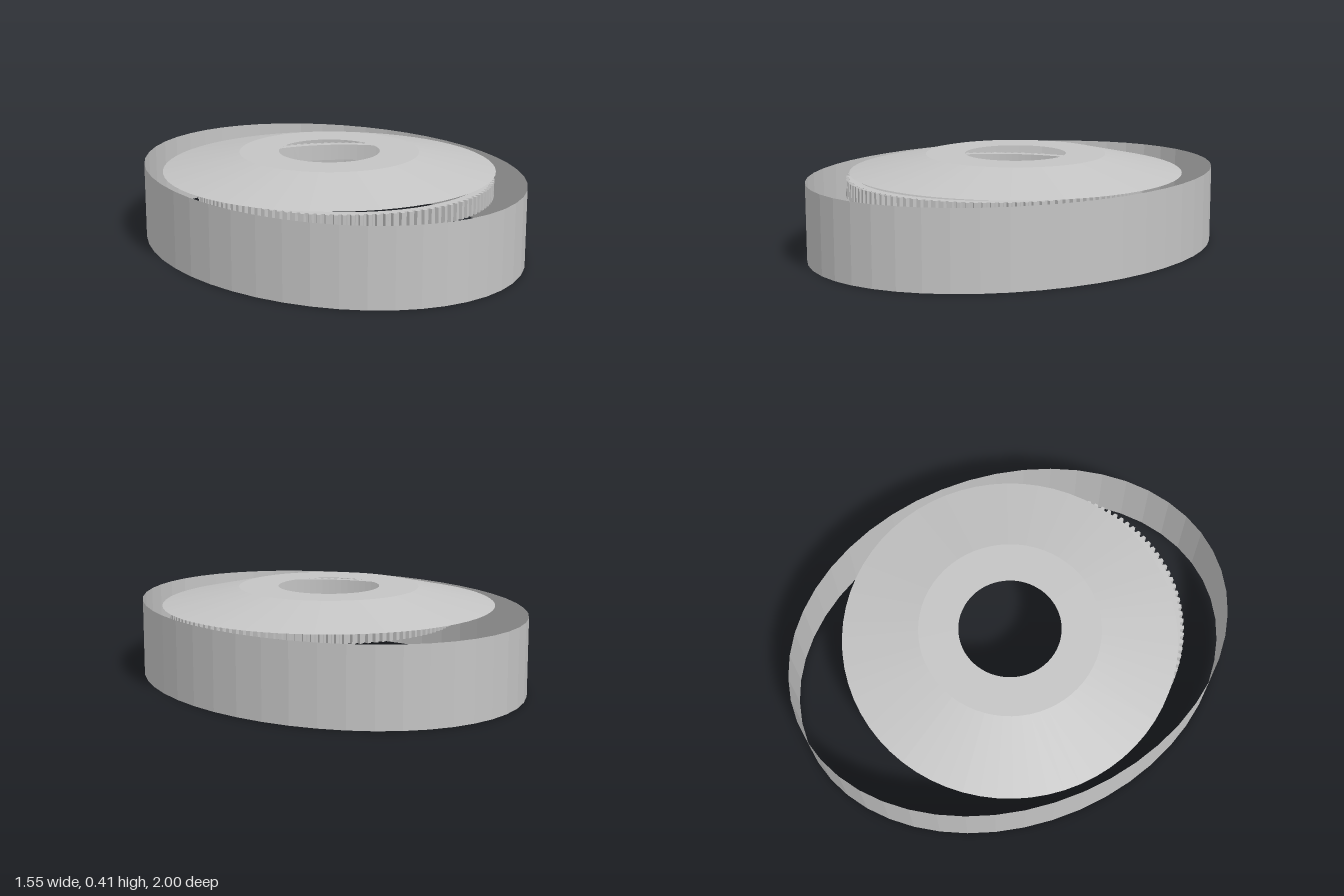
import * as THREE from 'three';

const TAU = Math.PI * 2;

export function createModel() {
  const group = new THREE.Group();
  const grey = new THREE.MeshStandardMaterial({
    color: 0xc4c4c4, flatShading: true, side: THREE.DoubleSide,
  });
  grey.name = 'light grey';

  const add = (name, geometry) => {
    const mesh = new THREE.Mesh(geometry, grey);
    mesh.name = name;
    group.add(mesh);
    return mesh;
  };

  // Thin oval band standing on the ground
  const band = new THREE.CylinderGeometry(1, 1, 0.34, 48, 1, true);
  band.scale(0.775, 1, 1);
  band.translate(0, 0.17, 0);
  add('ovalBand', band);

  // Thin sheet cover: flat collar around the hole, sloping to the rim
  const profile = [[0.74, 0.34], [0.4, 0.415], [0.225, 0.415]];
  add('coverDisc', new THREE.LatheGeometry(
    profile.map(([r, y]) => new THREE.Vector2(r, y)), 64));

  // Toothed ring hanging under the cover, set towards the front
  const teeth = 120, root = 0.634, tip = 0.65;
  const outline = [];
  for (let i = 0; i < teeth; i++) {
    [[0, root], [0.3, root], [0.45, tip], [0.85, tip]].forEach(([t, r]) => {
      const a = ((i + t) / teeth) * TAU;
      outline.push(new THREE.Vector2(r * Math.cos(a), r * Math.sin(a)));
    });
  }
  const gearShape = new THREE.Shape(outline);
  gearShape.holes.push(new THREE.Path().absarc(0, 0, 0.6, 0, TAU, true));
  const gear = new THREE.ExtrudeGeometry(gearShape, {
    depth: 0.075, bevelEnabled: false, curveSegments: 60,
  });
  gear.rotateX(-Math.PI / 2);
  add('toothedRing', gear).position.set(0, 0.255, 0.13);

  return group;
}
